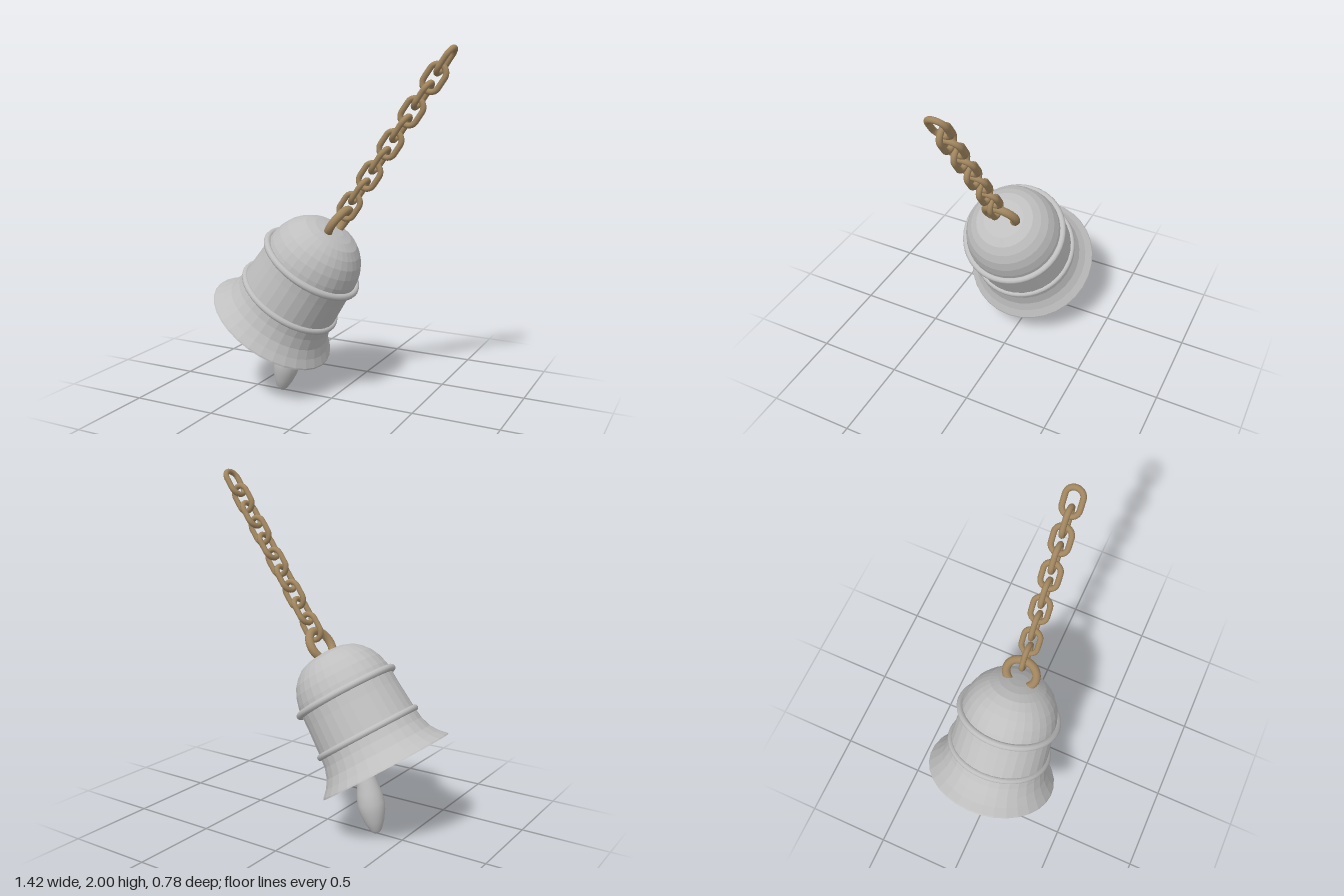
import * as THREE from 'three';

const TILT = -34.3 * Math.PI / 180;

// Rounded chain link lying in the local xy plane, long along y
class LinkCurve extends THREE.Curve {
  constructor(halfStraight, radius) {
    super();
    this.h = halfStraight;
    this.r = radius;
  }
  getPoint(t, target = new THREE.Vector3()) {
    const { h, r } = this;
    const arc = Math.PI * r, side = 2 * h;
    let d = (((t % 1) + 1) % 1) * 2 * (arc + side);
    const flip = d >= arc + side ? -1 : 1;
    if (flip < 0) d -= arc + side;
    if (d < side) return target.set(flip * r, flip * (d - h), 0);
    const a = (d - side) / r;
    return target.set(flip * r * Math.cos(a), flip * (h + r * Math.sin(a)), 0);
  }
}

function lathe(points, segments) {
  return new THREE.LatheGeometry(points.map(([r, y]) => new THREE.Vector2(r, y)), segments);
}

export function createModel() {
  const silver = new THREE.MeshStandardMaterial({ color: 0xbfbfbf });
  silver.name = 'silver';
  const silverFaceted = new THREE.MeshStandardMaterial({ color: 0xbfbfbf, flatShading: true });
  silverFaceted.name = 'silver faceted';
  const bronze = new THREE.MeshStandardMaterial({ color: 0xa1865f });
  bronze.name = 'bronze';

  const model = new THREE.Group();
  model.name = 'bell on chain';
  const add = (parent, name, geometry, material) => {
    const mesh = new THREE.Mesh(geometry, material);
    mesh.name = name;
    parent.add(mesh);
    return mesh;
  };

  // Everything along the tilted bell axis; local origin is the mouth centre
  const tilted = new THREE.Group();
  tilted.name = 'tiltedBell';
  tilted.position.set(-0.388, 0.41, 0);
  tilted.rotation.z = TILT;
  model.add(tilted);

  // Bell wall: inside from crown to lip, then outside back up
  add(tilted, 'bellBody', lathe([
    [0, 0.645], [0.14, 0.62], [0.21, 0.56], [0.25, 0.47], [0.265, 0.2],
    [0.29, 0.09], [0.335, 0.03], [0.38, 0],
    [0.39, 0], [0.387, 0.008], [0.352, 0.045], [0.322, 0.09], [0.303, 0.15], [0.296, 0.21],
    [0.29, 0.3], [0.284, 0.39], [0.282, 0.47], [0.277, 0.51], [0.262, 0.565],
    [0.238, 0.615], [0.205, 0.655], [0.165, 0.688], [0.115, 0.707], [0.06, 0.716], [0, 0.718],
  ], 32), silverFaceted);

  // Raised bands
  for (const [name, radius, tube, y] of [
    ['upperBand', 0.29, 0.02, 0.468], ['lowerBand', 0.297, 0.018, 0.213],
  ]) {
    const band = add(tilted, name, new THREE.TorusGeometry(radius, tube, 10, 48), silver);
    band.rotation.x = Math.PI / 2;
    band.position.y = y;
  }

  // Hanging ring sunk into the crown
  const ring = add(tilted, 'hangingRing', new THREE.TorusGeometry(0.09, 0.024, 12, 32), bronze);
  ring.rotation.y = Math.PI / 2;
  ring.position.y = 0.767;

  // Chain: alternate links turned a quarter
  const linkGeometry = new THREE.TubeGeometry(new LinkCurve(0.03, 0.047), 40, 0.016, 10, true);
  for (let i = 0; i < 10; i++) {
    const link = add(tilted, 'chainLink' + (i + 1), linkGeometry, bronze);
    link.position.y = 0.884 + i * 0.1058;
    link.rotation.y = i % 2 ? Math.PI / 2 : 0;
  }

  // Clapper hanging closer to vertical
  const clapper = add(model, 'clapper', lathe([
    [0, 0], [0.018, 0.004], [0.034, 0.02], [0.056, 0.07], [0.073, 0.13], [0.078, 0.18],
    [0.071, 0.24], [0.055, 0.31], [0.043, 0.38], [0.034, 0.48], [0.026, 0.65], [0.02, 0.98], [0, 0.985],
  ], 24), silver);
  clapper.position.set(-0.335, 0.004, 0);
  clapper.rotation.z = -0.225;

  return model;
}
